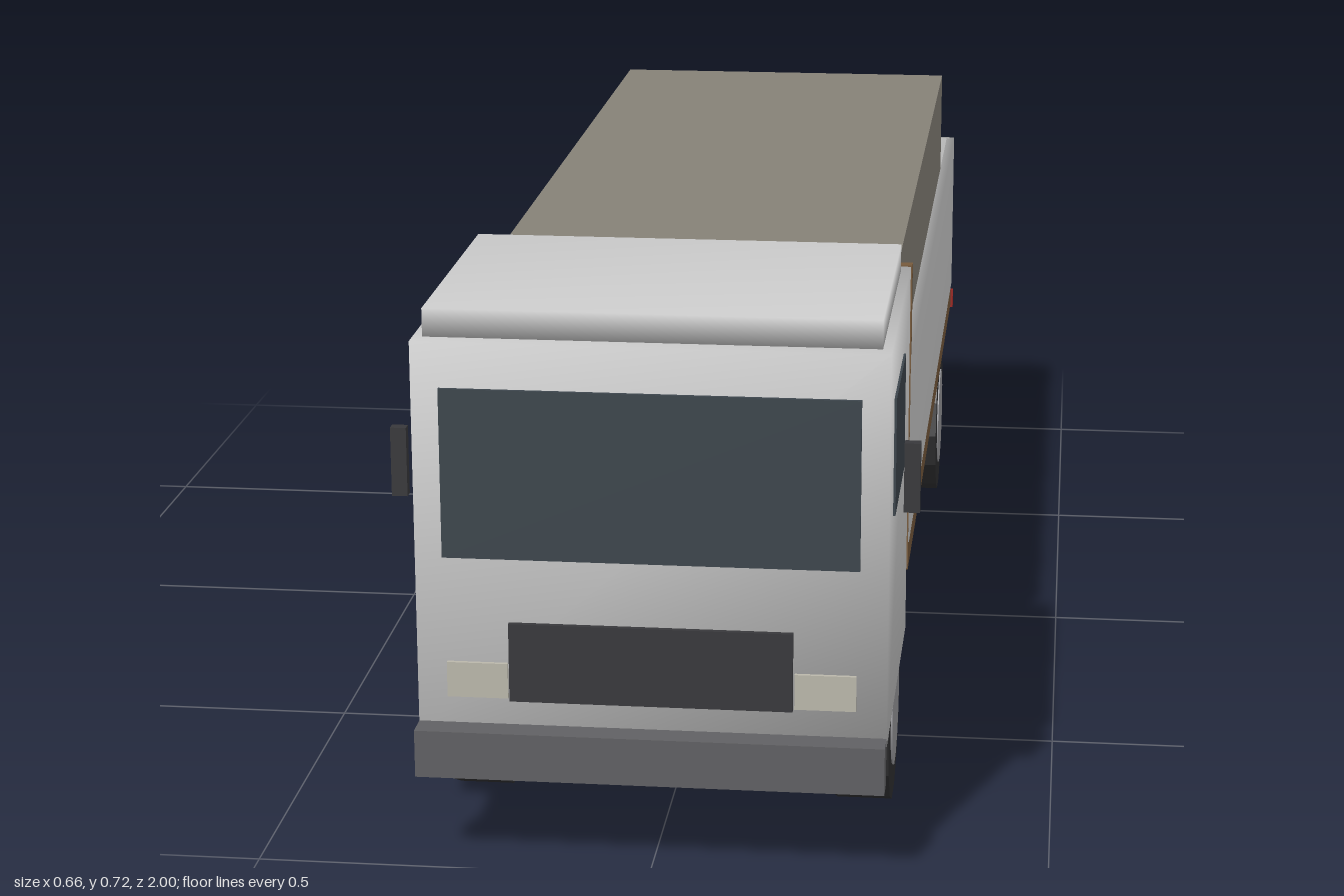
import * as THREE from 'three';
import { mergeVertices } from 'three/addons/utils/BufferGeometryUtils.js';

const mat = (color) => new THREE.MeshStandardMaterial({ color });
const body = mat(0xcccccc), glass = mat(0x3c454c), dark = mat(0x38383b), steel = mat(0x606063);
const wood = mat(0x775a3c), cargo = mat(0x858177), lamp = mat(0xbab7ab), red = mat(0x9a2622);
const hubGrey = mat(0x98989c), rubber = mat(0x2e2e30);
rubber.flatShading = true;

export function createModel() {
  const truck = new THREE.Group();

  // Box given by its extents on each axis; soft boxes share normals at the corners.
  function box(name, material, [x0, x1], [y0, y1], [z0, z1], soft = false) {
    let geo = new THREE.BoxGeometry(x1 - x0, y1 - y0, z1 - z0);
    if (soft) {
      geo.deleteAttribute('normal');
      geo.deleteAttribute('uv');
      geo = mergeVertices(geo);
      geo.computeVertexNormals();
    }
    const mesh = new THREE.Mesh(geo, material);
    mesh.name = name;
    mesh.position.set((x0 + x1) / 2, (y0 + y1) / 2, (z0 + z1) / 2);
    truck.add(mesh);
  }

  // The same box on the left (+x) and the right (-x).
  function pair(name, material, [x0, x1], y, z, soft) {
    box(name + 'Left', material, [x0, x1], y, z, soft);
    box(name + 'Right', material, [-x1, -x0], y, z, soft);
  }

  // Cab
  box('cab', body, [-0.295, 0.295], [0.17, 0.68], [0.527, 0.965], true);
  box('cabRoof', body, [-0.283, 0.283], [0.68, 0.716], [0.55, 0.942], true);
  box('windshield', glass, [-0.26, 0.26], [0.404, 0.622], [0.96, 0.97]);
  box('grille', dark, [-0.178, 0.178], [0.217, 0.32], [0.96, 0.972]);
  box('bumper', steel, [-0.295, 0.295], [0.122, 0.184], [0.965, 1]);
  pair('headlight', lamp, [0.18, 0.257], [0.22, 0.266], [0.96, 0.97]);
  pair('sideWindow', glass, [0.29, 0.298], [0.45, 0.603], [0.68, 0.887]);
  pair('mirror', dark, [0.31, 0.33], [0.468, 0.557], [0.912, 0.926]);

  // Chassis and cargo bed
  box('chassis', dark, [-0.145, 0.145], [0.16, 0.225], [-0.9, 0.565]);
  box('bedFloor', wood, [-0.295, 0.295], [0.24, 0.28], [-0.965, 0.486]);
  box('headboard', wood, [-0.295, 0.295], [0.28, 0.672], [0.472, 0.488]);
  pair('sidePanel', body, [0.283, 0.296], [0.28, 0.546], [-0.965, 0.486], true);
  box('tailgate', body, [-0.288, 0.288], [0.28, 0.546], [-0.967, -0.955], true);
  box('load', cargo, [-0.275, 0.275], [0.28, 0.668], [-0.906, 0.427]);

  // Rear lights and plate
  pair('tailLight', red, [0.243, 0.298], [0.228, 0.26], [-1, -0.991]);
  box('rearPlate', lamp, [-0.065, 0.065], [0.226, 0.262], [-1, -0.994]);

  // Wheels: single in front, twin at the rear
  const radius = 0.126, sides = 14, axleY = radius * Math.cos(Math.PI / sides);
  const tyreGeo = new THREE.CylinderGeometry(radius, radius, 0.072, sides).rotateZ(Math.PI / 2);
  const hubGeo = new THREE.CylinderGeometry(0.08, 0.08, 0.076, sides).rotateZ(Math.PI / 2);
  const wheels = [['frontWheel', 0.254, 0.695], ['rearOuterWheel', 0.254, -0.655], ['rearInnerWheel', 0.179, -0.655]];
  for (const [name, x, z] of wheels) {
    for (const side of [1, -1]) {
      const wheel = new THREE.Group();
      wheel.name = name + (side > 0 ? 'Left' : 'Right');
      const tyre = new THREE.Mesh(tyreGeo, rubber);
      tyre.name = 'tyre';
      const hub = new THREE.Mesh(hubGeo, hubGrey);
      hub.name = 'hub';
      wheel.add(tyre, hub);
      wheel.position.set(side * x, axleY, z);
      truck.add(wheel);
    }
  }
  return truck;
}
